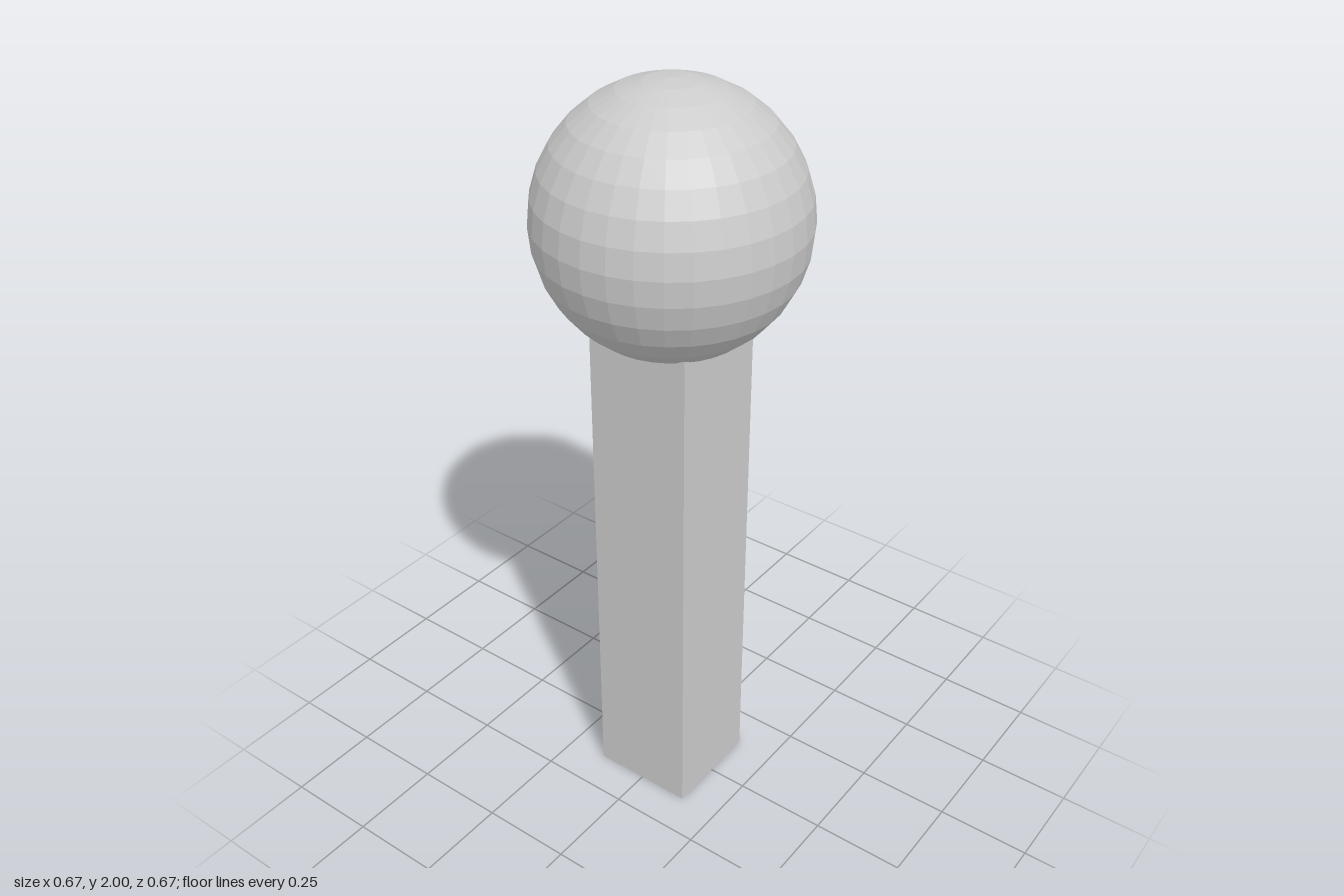
import * as THREE from 'three';
import { mergeGeometries } from 'three/addons/utils/BufferGeometryUtils.js';

export function createModel() {
  const group = new THREE.Group();
  const R = 1 / 3, SEGMENTS = 32, RINGS = 16;
  const step = Math.PI / RINGS;

  // Square post: a four-sided prism whose top corners meet the ball
  const postHeight = 1.4;
  const postGeometry = new THREE.CylinderGeometry(0.2, 0.2, postHeight, 4);
  postGeometry.rotateY(Math.PI / 4);
  const post = new THREE.Mesh(
    postGeometry,
    new THREE.MeshStandardMaterial({ color: 0xcccccc, flatShading: true })
  );
  post.name = 'post';
  post.position.y = postHeight / 2;
  group.add(post);

  // A run of ball rings, with a gap of some segments centred on +x
  const band = (firstRing, lastRing, gap = 0) =>
    new THREE.SphereGeometry(
      R, SEGMENTS - gap, lastRing - firstRing,
      Math.PI + gap * step / 2, 2 * Math.PI - gap * step,
      firstRing * step, (lastRing - firstRing) * step
    );

  // Hollow ball with an open window, two rings high and four segments wide
  const ball = new THREE.Mesh(
    mergeGeometries([band(0, 5), band(5, 7, 4), band(7, RINGS)]),
    new THREE.MeshStandardMaterial({
      color: 0xcccccc, flatShading: true, side: THREE.DoubleSide
    })
  );
  ball.name = 'hollowBall';
  ball.position.y = 2 - R;
  group.add(ball);

  return group;
}
